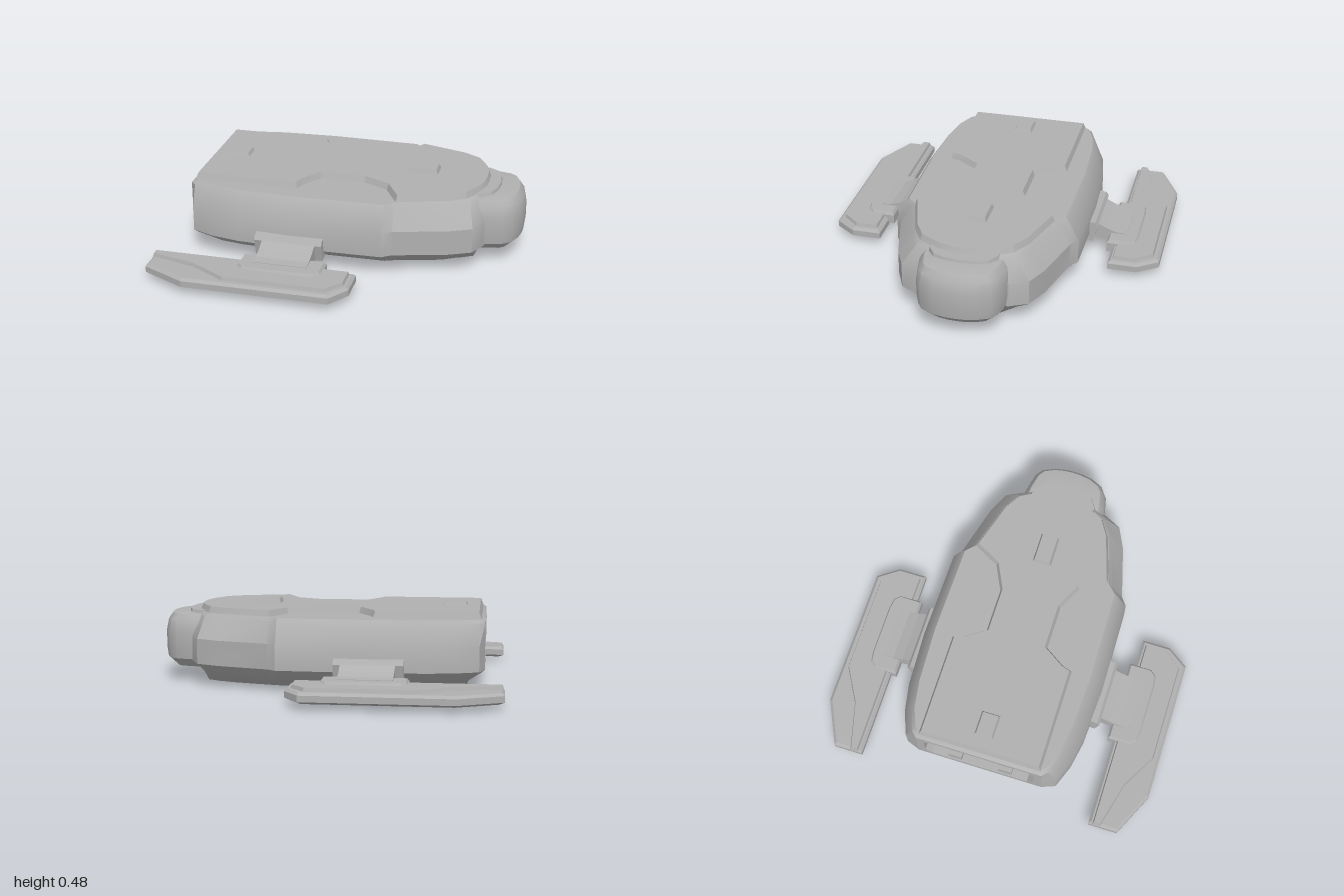
import * as THREE from 'three';
import { toCreasedNormals } from 'three/addons/utils/BufferGeometryUtils.js';

const hullGrey = new THREE.MeshStandardMaterial({ color: 0xb0b0b0 });
hullGrey.name = 'hullGrey';

// Mirror a half outline [x, z] (rear to front, +z side) into a closed outline
const full = half => [...half, ...half.filter(p => p[1] > 0).reverse().map(([x, z]) => [x, -z])];

// Put an outline on the other side while keeping its winding
const onSide = (pts, s) => (s > 0 ? pts : pts.map(([x, z]) => [x, -z]).reverse());

// Move every edge of an outline inwards by d
function inset(pts, d) {
  const n = pts.length;
  const normal = (a, b) => {
    const dx = b[0] - a[0], dz = b[1] - a[1], l = Math.hypot(dx, dz);
    return [dz / l, -dx / l];
  };
  return pts.map((p, i) => {
    const a = normal(pts[(i + n - 1) % n], p), b = normal(p, pts[(i + 1) % n]);
    const k = d / (1 + a[0] * b[0] + a[1] * b[1]);
    return [p[0] + (a[0] + b[0]) * k, p[1] + (a[1] + b[1]) * k];
  });
}

// Skin a stack of outlines [y, points] from bottom to top and cap both ends
function loft(rings, crease = 0.5, skip = () => false) {
  const n = rings[0][1].length, pos = [], index = [];
  rings.forEach(([y, pts]) => pts.forEach(([x, z]) => pos.push(x, y, z)));
  for (let r = 0; r < rings.length - 1; r++) {
    for (let i = 0; i < n; i++) {
      if (skip(r, i)) continue;
      const j = (i + 1) % n, a = r * n + i, b = r * n + j;
      index.push(a, b, b + n, a, b + n, a + n);
    }
  }
  const cap = (r, flip) => {
    const contour = rings[r][1].map(([x, z]) => new THREE.Vector2(x, -z));
    for (const [a, b, c] of THREE.ShapeUtils.triangulateShape(contour, [])) {
      const t = [a, b, c].map(v => v + r * n);
      index.push(...(flip ? t.reverse() : t));
    }
  };
  cap(0, true);
  cap(rings.length - 1, false);
  const g = new THREE.BufferGeometry();
  g.setAttribute('position', new THREE.Float32BufferAttribute(pos, 3));
  g.setIndex(index);
  return toCreasedNormals(g, crease);
}

// Extrude a [z, y] profile between two x positions
function extrudeX(profile, x0, x1, hole) {
  const vec = pts => pts.map(p => new THREE.Vector2(...p));
  const shape = new THREE.Shape(vec(profile));
  if (hole) shape.holes.push(new THREE.Path(vec(hole)));
  return new THREE.ExtrudeGeometry(shape, { depth: x1 - x0, bevelEnabled: false })
    .rotateY(-Math.PI / 2).translate(x1, 0, 0);
}

export function createModel() {
  const model = new THREE.Group();
  model.name = 'shuttle';
  const add = (name, geometry, parent = model) => {
    const mesh = new THREE.Mesh(geometry, hullGrey);
    mesh.name = name;
    parent.add(mesh);
    return mesh;
  };

  // Hull: keel, chamfer, side wall and shoulder
  const keel = full([[-0.78, 0.26], [-0.77, 0.27], [-0.7, 0.28], [-0.57, 0.285], [-0.25, 0.285], [0.2, 0.285],
    [0.3, 0.28], [0.55, 0.22], [0.66, 0.18], [0.73, 0.14], [0.735, 0.07], [0.735, 0]]);
  const chamfer = full([[-0.8, 0.34], [-0.79, 0.38], [-0.7, 0.42], [-0.57, 0.44], [-0.25, 0.455], [0.27, 0.45],
    [0.32, 0.43], [0.58, 0.36], [0.68, 0.3], [0.74, 0.22], [0.755, 0.12], [0.76, 0]]);
  const wide = full([[-0.89, 0.37], [-0.86, 0.45], [-0.73, 0.5], [-0.57, 0.53], [-0.25, 0.547], [0.27, 0.537],
    [0.32, 0.5], [0.62, 0.42], [0.75, 0.36], [0.8, 0.26], [0.82, 0.14], [0.83, 0]]);
  const shoulder = full([[-0.89, 0.37], [-0.86, 0.4], [-0.73, 0.445], [-0.57, 0.47], [-0.25, 0.487], [0.27, 0.477],
    [0.32, 0.43], [0.61, 0.34], [0.72, 0.28], [0.78, 0.17], [0.8, 0.09], [0.81, 0]]);
  const deck = full([[-0.86, 0.36], [-0.84, 0.385], [-0.73, 0.43], [-0.57, 0.455], [-0.25, 0.47], [0.27, 0.46],
    [0.32, 0.41], [0.6, 0.325], [0.7, 0.265], [0.765, 0.15], [0.785, 0.08], [0.79, 0]]);
  add('hull', loft([[0.005, keel], [0.07, chamfer], [0.115, inset(wide, 0.025)], [0.135, wide],
    [0.28, wide], [0.4, shoulder], [0.42, deck]], 0.5,
  (r, i) => i === wide.length - 1 && (r === 3 || r === 4)));

  // Raised top plate with side notches
  const plate = full([[-0.87, 0.36], [-0.26, 0.36], [-0.24, 0.3], [-0.165, 0.185], [0.09, 0.185], [0.235, 0.255],
    [0.32, 0.41], [0.6, 0.325], [0.7, 0.265], [0.765, 0.15], [0.785, 0.08], [0.79, 0]]);
  add('topPlate', loft([[0.415, plate], [0.455, inset(plate, 0.015)]], 0.4));

  // Hatches on the top plate
  for (const [x0, x1, y] of [[-0.785, -0.64, 0.475], [0.31, 0.495, 0.482]]) {
    const o = full([[x0, 0.057], [x1, 0.057]]);
    add('roofHatch', loft([[0.45, o], [y, inset(o, 0.012)]], 0.3));
  }

  // Nose cap and the collar behind it
  const nose = full([[0.7, 0.26], [0.8, 0.252], [0.9, 0.23], [0.95, 0.195], [0.985, 0.12], [0.998, 0.05], [1, 0]]);
  add('nose', loft([[0.09, inset(nose, 0.06)], [0.14, inset(nose, 0.008)], [0.2, nose], [0.3, nose],
    [0.36, inset(nose, 0.012)], [0.4, inset(nose, 0.04)], [0.408, inset(nose, 0.095)]], 0.6));
  const collar = full([[0.66, 0.22], [0.77, 0.2], [0.83, 0.16], [0.855, 0.09], [0.865, 0]]);
  add('noseCollar', loft([[0.38, collar], [0.425, inset(collar, 0.012)]], 0.4));

  // Rear bay: frame, back wall and four fittings
  const rect = (w, y0, y1, c) => [[-w + c, y0], [w - c, y0], [w, y0 + c], [w, y1 - c],
    [w - c, y1], [-w + c, y1], [-w, y1 - c], [-w, y0 + c]];
  add('rearFrame', extrudeX([[-0.37, 0.135], [0.37, 0.135], [0.37, 0.4], [-0.37, 0.4]], -0.89, -0.82,
    rect(0.325, 0.165, 0.375, 0.04)));
  add('rearWall', new THREE.BoxGeometry(0.02, 0.26, 0.72).translate(-0.815, 0.268, 0));
  for (const z of [-0.15, 0.15]) {
    for (const y of [0.19, 0.35]) {
      add('rearFitting', new THREE.BoxGeometry(0.06, 0.05, 0.08).translate(-0.85, y, z));
    }
  }

  // Side pods on short sloping pylons
  for (const s of [1, -1]) {
    const side = new THREE.Group();
    side.name = s > 0 ? 'frontPodAssembly' : 'backPodAssembly';
    model.add(side);
    const profile = pts => pts.map(([z, y]) => [z * s, y]);

    const base = onSide([[-1, 0.86], [-0.75, 0.98], [0.08, 0.98], [0.165, 0.86], [0.165, 0.69], [-1, 0.69]], s);
    add('pod', loft([[0.035, inset(base, 0.03)], [0.05, base], [0.085, base], [0.1, inset(base, 0.015)]], 0.3), side);

    const ridge = onSide([[-1, 0.765], [-0.73, 0.835], [-0.53, 0.95], [0.055, 0.95], [0.14, 0.85],
      [0.14, 0.708], [-1, 0.708]], s);
    add('podRidge', loft([[0.08, ridge], [0.12, inset(ridge, 0.012)]], 0.3), side);

    const foot = onSide([[-0.49, 0.79], [-0.46, 0.825], [-0.4, 0.835], [-0.1, 0.835], [-0.04, 0.825],
      [-0.01, 0.79], [-0.01, 0.655], [-0.49, 0.655]], s);
    add('pylonFoot', loft([[0.06, foot], [0.115, foot], [0.133, inset(foot, 0.012)]], 0.3), side);

    add('pylon', extrudeX(profile([[0.55, 0.1], [0.65, 0.08], [0.76, 0.08], [0.76, 0.136], [0.7, 0.14],
      [0.64, 0.16], [0.57, 0.195]]), -0.405, -0.1), side);
    add('pylonRoot', extrudeX(profile([[0.5, 0.1], [0.565, 0.085], [0.59, 0.185], [0.575, 0.208],
      [0.5, 0.22]]), -0.45, -0.06), side);
  }
  return model;
}
